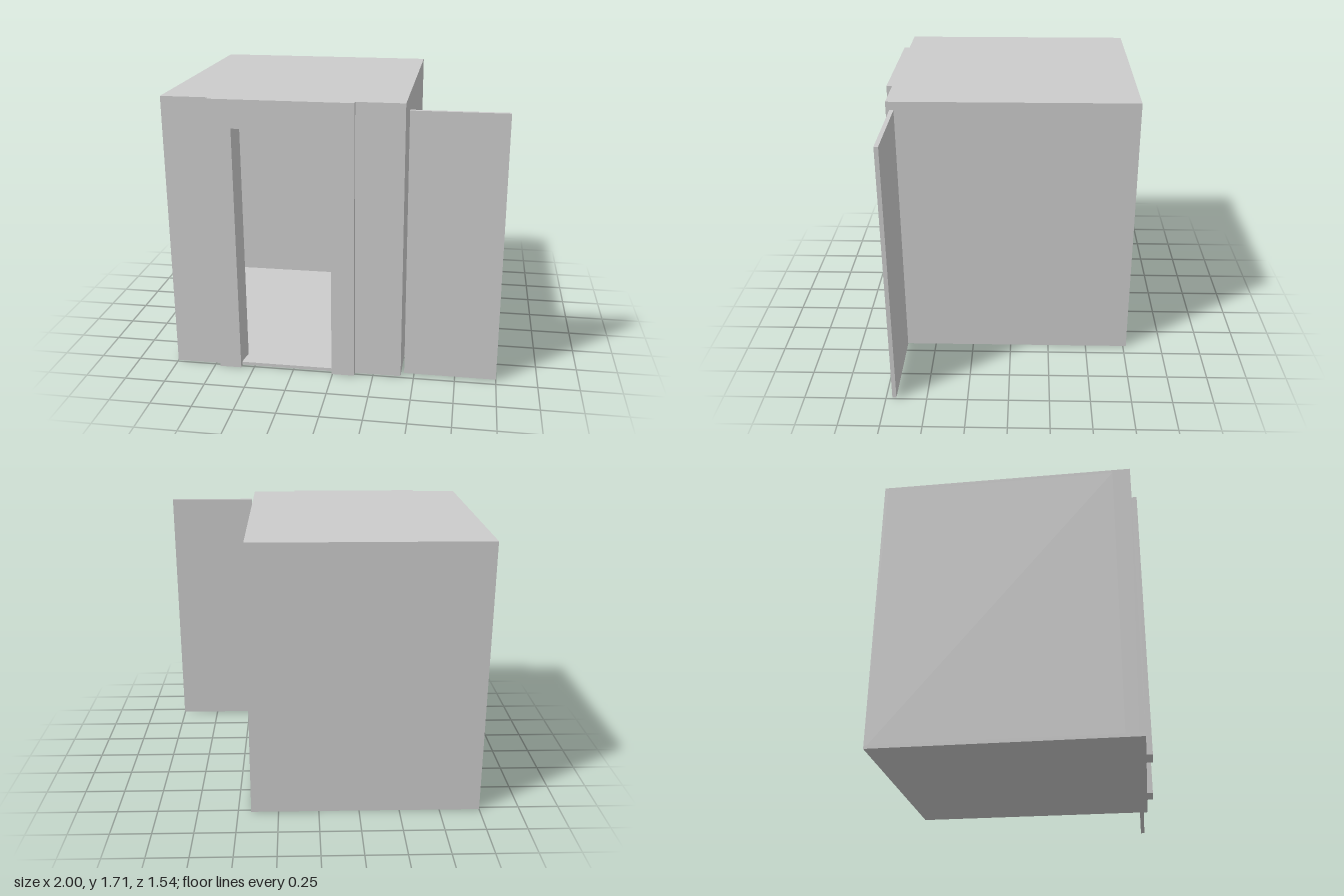
import * as THREE from 'three';

export function createModel() {
  const model = new THREE.Group();
  const material = new THREE.MeshStandardMaterial({ color: 0xcccccc, flatShading: true });
  const add = (name, geometry) => {
    const mesh = new THREE.Mesh(geometry, material);
    mesh.name = name;
    model.add(mesh);
  };
  const box = (name, x0, x1, y0, y1, z0, z1) =>
    add(name, new THREE.BoxGeometry(x1 - x0, y1 - y0, z1 - z0)
      .translate((x0 + x1) / 2, (y0 + y1) / 2, (z0 + z1) / 2));

  // Room and doorway limits
  const L = -1, R = 0.42, H = 1.71, back = -0.77, front = 0.735, t = 0.02;
  const dL = -0.58, dR = -0.005, dH = 1.54;

  // Upright slab with the doorway cut up from its lower edge
  const archSlab = (x0, x1, z0, z1) => {
    const shape = new THREE.Shape([
      [x0, 0], [dL, 0], [dL, dH], [dR, dH], [dR, 0], [x1, 0], [x1, H], [x0, H],
    ].map(([x, y]) => new THREE.Vector2(x, y)));
    return new THREE.ExtrudeGeometry(shape, { depth: z1 - z0, bevelEnabled: false })
      .translate(0, 0, z0);
  };

  // Thin shell of the room
  box('floor', L, R, 0, t, back, front);
  box('ceiling', L, R, H - t, H, back, 0.63);
  box('backWall', L, R, t, H - t, back, back + t);
  box('rightWall', L, L + t, t, H - t, back + t, 0.63);
  box('leftWall', R - t, R, t, H - t, back + t, 0.63);

  // Front wall and the raised surround of the doorway
  add('frontWall', archSlab(L, R, 0.7, front));
  add('doorSurround', archSlab(-0.715, 0.135, front, 0.77));

  // Rear half of the wall, its doorway narrowing slightly towards the room
  const inner = archSlab(L, R, 0.63, 0.7);
  const p = inner.attributes.position;
  for (let i = 0; i < p.count; i++) {
    const x = p.getX(i);
    if (p.getZ(i) > 0.66 || x < dL - 0.01 || x > dR + 0.01) continue;
    p.setX(i, x + (x < -0.3 ? 0.012 : -0.012));
    if (p.getY(i) > 1) p.setY(i, dH - 0.018);
  }
  inner.computeVertexNormals();
  add('innerFrontWall', inner);

  // Sliding door, drawn out beside the room
  box('slidingDoor', 0.44, 1, 0.01, 1.665, 0.685, 0.71);

  return model;
}
